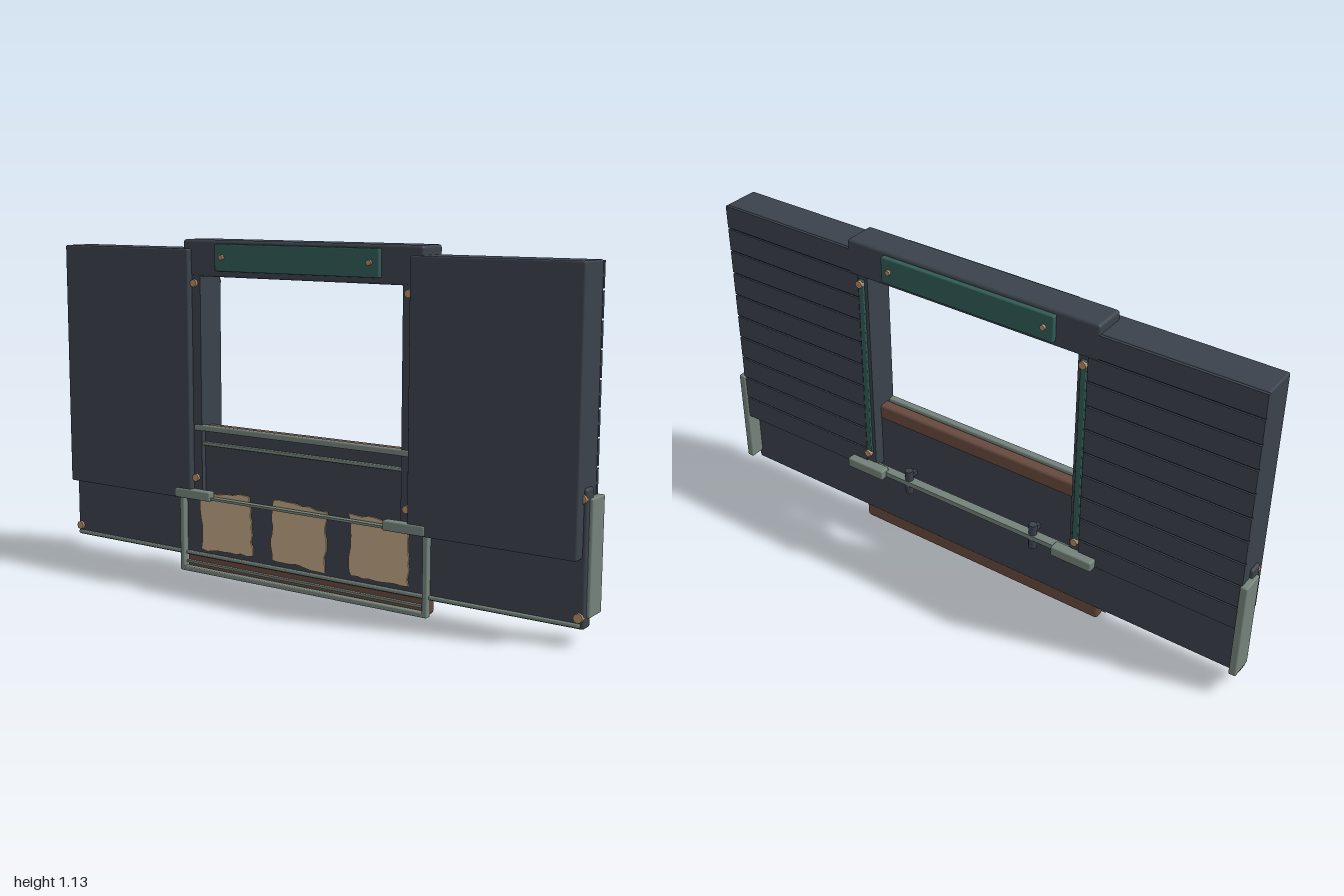
import * as THREE from 'three';
import { RoundedBoxGeometry } from 'three/addons/geometries/RoundedBoxGeometry.js';

const mat = (name, color) => new THREE.MeshStandardMaterial({ name, color });

export function createModel() {
  const slate = mat('slate wall', 0x3b424b);
  const groove = mat('dark groove', 0x23282d);
  const sage = mat('sage metal', 0x74827a);
  const teal = mat('teal plate', 0x315a55);
  const wood = mat('brown wood', 0x66493d);
  const paper = mat('tan paper', 0xbfa382);
  const copper = mat('copper bolt', 0xb08a68);

  const root = new THREE.Group();
  root.name = 'serviceWindow';

  const add = (name, geo, material, x = 0, y = 0, z = 0) => {
    const m = new THREE.Mesh(geo, material);
    m.name = name;
    m.position.set(x, y, z);
    root.add(m);
    return m;
  };
  // Box given by its limits; r > 0 rounds the edges
  const box = (name, material, x0, x1, y0, y1, z0, z1, r = 0) => {
    const s = [x1 - x0, y1 - y0, z1 - z0];
    const geo = r ? new RoundedBoxGeometry(...s, 2, r) : new THREE.BoxGeometry(...s);
    return add(name, geo, material, (x0 + x1) / 2, (y0 + y1) / 2, (z0 + z1) / 2);
  };
  // Same box on both sides
  const pair = (name, material, x0, x1, ...rest) => {
    box(name + 'Left', material, x0, x1, ...rest);
    box(name + 'Right', material, -x1, -x0, ...rest);
  };
  const bolt = (x, y, z, r = 0.013, h = 0.014) => {
    add('bolt', new THREE.CylinderGeometry(r, r, h, 8), copper, x, y, z).rotation.x = Math.PI / 2;
  };

  // Side walls, with horizontal boards on the back
  pair('sideWall', slate, 0.425, 0.98, 0.262, 1.1, -0.046, 0.078, 0.006);
  pair('boardGap', groove, 0.43, 0.975, 0.268, 1.095, -0.049, -0.04);
  const boards = 10, pitch = (1.1 - 0.262) / boards;
  for (let i = 0; i < boards; i++) {
    const y = 0.262 + i * pitch;
    pair('backBoard', slate, 0.425, 0.98, y + 0.003, y + pitch - 0.003, -0.055, -0.044);
  }

  // Lintel and jambs around the opening
  box('lintel', slate, -0.46, 0.46, 1.01, 1.13, -0.056, 0.057, 0.01);
  pair('jamb', slate, 0.39, 0.43, 0.28, 1.02, -0.05, 0.055);
  pair('jambStrip', teal, 0.402, 0.422, 0.33, 1.0, -0.059, -0.048, 0.003);

  // Low wall with wooden sill and foot
  box('lowWall', slate, -0.99, 0.99, 0.055, 0.465, -0.01, 0.037, 0.008);
  box('sillFace', slate, -0.4, 0.4, 0.45, 0.497, 0.026, 0.037);
  box('woodSill', wood, -0.41, 0.41, 0.458, 0.512, -0.012, 0.03, 0.01);
  box('woodFoot', wood, -0.48, 0.48, 0.004, 0.065, -0.007, 0.033, 0.014);

  // Horizontal rails on the front
  box('upperRail', sage, -0.42, 0.42, 0.496, 0.516, 0.034, 0.058, 0.005);
  box('lowerRail', sage, -0.42, 0.42, 0.447, 0.458, 0.034, 0.052, 0.003);
  box('footRail', sage, -0.98, 0.98, 0.061, 0.073, 0.034, 0.048, 0.004);

  // Front tray frame
  pair('trayPost', sage, 0.47, 0.488, 0.005, 0.285, 0.036, 0.06, 0.004);
  box('trayBottom', sage, -0.488, 0.488, 0.005, 0.021, 0.036, 0.06, 0.004);
  box('trayLip', sage, -0.47, 0.47, 0.031, 0.039, 0.034, 0.046);
  box('trayTop', sage, -0.48, 0.48, 0.268, 0.276, 0.05, 0.074);
  pair('trayBracket', sage, 0.34, 0.488, 0.264, 0.296, 0.052, 0.083, 0.005);

  // Back shelf with brackets and hanging pegs
  box('backShelf', sage, -0.48, 0.48, 0.268, 0.285, -0.062, -0.03);
  pair('shelfBracket', sage, 0.34, 0.488, 0.262, 0.297, -0.084, -0.045, 0.005);
  for (const x of [-0.25, 0.25]) {
    add('peg', new THREE.CylinderGeometry(0.014, 0.014, 0.09, 12), slate, x, 0.277, -0.047);
    box('pegArm', slate, x - 0.007, x + 0.007, 0.29, 0.304, -0.045, -0.005);
  }

  // End plates
  pair('endPlate', sage, 0.975, 1.0, 0.087, 0.435, -0.062, 0.02, 0.005);

  // Sign plates on both faces of the lintel
  box('frontSign', teal, -0.315, 0.315, 1.03, 1.118, 0.05, 0.073, 0.004);
  box('backSign', teal, -0.315, 0.315, 1.03, 1.118, -0.073, -0.05, 0.004);

  // Bolts
  for (const x of [-1, 1]) {
    for (const z of [-0.075, 0.075]) bolt(x * 0.283, 1.075, z, 0.009);
    for (const y of [0.335, 0.987]) {
      bolt(x * 0.413, y, 0.058);
      bolt(x * 0.413, y, -0.06);
    }
    for (const y of [0.09, 0.435]) bolt(x * 0.975, y, 0.039, 0.015);
  }

  // Three ragged notices
  let seed = 7;
  const rand = () => (seed = (seed * 16807) % 2147483647) / 2147483647 - 0.5;
  [[-0.303, 0.05], [-0.003, -0.045], [0.302, 0.015]].forEach(([x, tilt]) => {
    const w = 0.106, h = 0.1, n = 9, pts = [];
    const corners = [[-w, -h], [w, -h], [w, h], [-w, h]];
    corners.forEach(([ax, ay], k) => {
      const [bx, by] = corners[(k + 1) % 4];
      for (let i = 0; i < n; i++) {
        const t = i / n;
        pts.push(new THREE.Vector2(ax + (bx - ax) * t + rand() * 0.01, ay + (by - ay) * t + rand() * 0.01));
      }
    });
    const geo = new THREE.ExtrudeGeometry(new THREE.Shape(pts), { depth: 0.006, bevelEnabled: false });
    add('notice', geo, paper, x, 0.188, 0.036).rotation.z = tilt;
  });

  return root;
}
